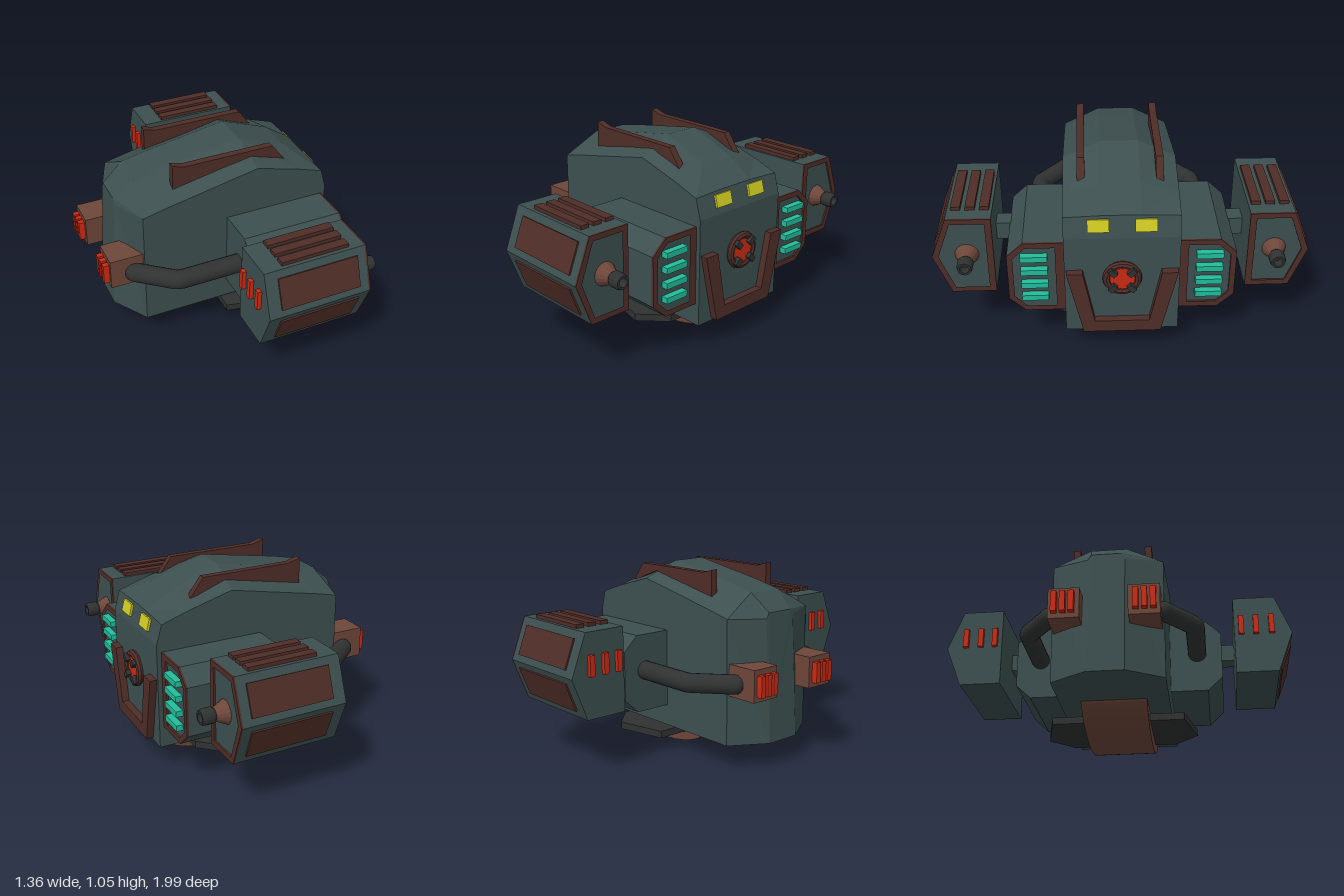
import * as THREE from 'three';

const mat = (color) => new THREE.MeshStandardMaterial({ color, flatShading: true });
const M = {
  hull: mat(0x3d4f4f), brown: mat(0x4f2d27), tan: mat(0x6e463a), dark: mat(0x303232),
  red: mat(0xcc2a14), cyan: mat(0x22bd9b), yellow: mat(0xcfcb22),
};

function add(parent, name, geo, material) {
  const mesh = new THREE.Mesh(geo, material);
  mesh.name = name;
  parent.add(mesh);
  return mesh;
}
const path = (pts, T = THREE.Shape) => new T(pts.map(([a, b]) => new THREE.Vector2(a, b)));
const extrude = (shape, depth) =>
  new THREE.ExtrudeGeometry(shape, { depth, bevelEnabled: false, curveSegments: 20 });

// Box given by its extents
function box(x0, x1, y0, y1, z0, z1) {
  return new THREE.BoxGeometry(x1 - x0, y1 - y0, Math.abs(z1 - z0))
    .translate((x0 + x1) / 2, (y0 + y1) / 2, (z0 + z1) / 2);
}
// Outline of [z, y] points swept along x, with an optional hole
function sweepX(pts, x0, x1, hole) {
  const flip = (list) => list.map(([z, y]) => [-z, y]);
  const shape = path(flip(pts));
  if (hole) shape.holes.push(path(flip(hole), THREE.Path));
  return extrude(shape, x1 - x0).rotateY(Math.PI / 2).translate(x0, 0, 0);
}
// Outline of [x, z] points swept upwards
const sweepY = (pts, y0, y1) =>
  extrude(path(pts), y1 - y0).rotateX(Math.PI / 2).translate(0, y1, 0);
// Cylinder or cone along x
const tubeX = (r0, r1, x0, x1, n = 16, open = false) =>
  new THREE.CylinderGeometry(r1, r0, x1 - x0, n, 1, open)
    .rotateZ(-Math.PI / 2).translate((x0 + x1) / 2, 0, 0);

// Faceted hull lofted through cross-sections from rear to front
function hullGeometry() {
  // x at bottom, x at top, half width, shoulder height, roof half width, roof height
  const sections = [
    [-0.585, -0.545, 0.1, 0.81, 0.08, 0.84],
    [-0.46, -0.43, 0.3, 0.822, 0.1, 0.935],
    [-0.33, -0.28, 0.3, 0.852, 0.1, 0.967],
    [0.2, 0.18, 0.3, 0.96, 0.1, 1.045],
    [0.45, 0.45, 0.3, 0.89, 0.1, 0.945],
    [0.6, 0.6, 0.3, 0.84, 0.1, 0.848],
    [0.632, 0.632, 0.3, 0.73, 0.1, 0.73],
  ];
  const rings = sections.map(([xb, xt, w, ys, c, yt]) => {
    const xs = Math.abs(xb) === 0.585 ? xt : xb;
    return [[xb, 0.14, -w], [xs, ys, -w], [xt, yt, -c], [xt, yt, c], [xs, ys, w], [xb, 0.14, w]];
  });
  const pos = [];
  const tri = (...p) => p.forEach((v) => pos.push(...v));
  for (let k = 0; k < rings.length - 1; k++) {
    for (let i = 0; i < 6; i++) {
      const j = (i + 1) % 6, A = rings[k], B = rings[k + 1];
      tri(A[i], A[j], B[j]);
      tri(A[i], B[j], B[i]);
    }
  }
  const rear = rings[0], front = rings[rings.length - 1];
  for (let i = 1; i < 5; i++) {
    tri(rear[0], rear[i + 1], rear[i]);
    tri(front[0], front[i], front[i + 1]);
  }
  const g = new THREE.BufferGeometry();
  g.setAttribute('position', new THREE.Float32BufferAttribute(pos, 3));
  g.computeVertexNormals();
  return g;
}

function createShoulder(s) {
  const g = new THREE.Group();
  g.name = s > 0 ? 'rightShoulder' : 'leftShoulder';
  const side = (pts) => pts.map(([z, y]) => [z * s, y]);
  const outer = side([[0.28, 0.26], [0.51, 0.26], [0.595, 0.34], [0.595, 0.61], [0.51, 0.69], [0.28, 0.69]]);
  const inner = side([[0.345, 0.29], [0.5, 0.29], [0.565, 0.355], [0.565, 0.595], [0.5, 0.66], [0.345, 0.66]]);
  add(g, 'shoulderBlock', sweepX(outer, 0.025, 0.595), M.hull);
  add(g, 'shoulderRim', sweepX(outer, 0.595, 0.607, inner), M.brown);
  for (const y of [0.36, 0.44, 0.523, 0.605])
    add(g, 'lightBar', box(0.59, 0.632, y - 0.016, y + 0.016, 0.385 * s, 0.525 * s), M.cyan);
  add(g, 'podArm', box(0.2, 0.3, 0.515, 0.615, 0.58 * s, 0.68 * s), M.hull);
  return g;
}

function createPod(s) {
  const g = new THREE.Group();
  g.name = s > 0 ? 'rightPod' : 'leftPod';
  const side = (pts) => pts.map(([z, y]) => [z * s, y]);
  const outer = side([[0.67, 0.32], [0.905, 0.32], [0.993, 0.55], [0.905, 0.78], [0.67, 0.78]]);
  const inner = side([[0.705, 0.35], [0.885, 0.35], [0.958, 0.55], [0.885, 0.75], [0.705, 0.75]]);
  add(g, 'podBody', sweepX(outer, -0.07, 0.5), M.hull);
  add(g, 'podRim', sweepX(outer, 0.5, 0.51, inner), M.brown);
  // Sloped side panels, upper and lower
  for (const k of [1, -1]) {
    const panel = add(g, 'sidePanel', new THREE.BoxGeometry(0.45, 0.167, 0.02), M.brown);
    panel.position.set(0.225, 0.55 + k * 0.112, 0.949 * s);
    panel.rotation.x = -s * k * Math.atan(0.088 / 0.23);
  }
  for (const z of [0.71, 0.785, 0.86]) {
    add(g, 'roofRib', box(0.04, 0.42, 0.77, 0.8, (z - 0.025) * s, (z + 0.025) * s), M.brown);
  }
  for (const z of [0.71, 0.793, 0.88])
    add(g, 'rearLight', box(-0.092, -0.06, 0.55, 0.662, (z - 0.015) * s, (z + 0.015) * s), M.red);
  // Gun
  const gun = new THREE.Group();
  gun.name = 'gun';
  gun.position.set(0, 0.557, 0.81 * s);
  add(gun, 'gunCone', tubeX(0.066, 0.032, 0.495, 0.565), M.tan);
  const barrel = [[0, 0.56], [0.033, 0.56], [0.042, 0.575], [0.042, 0.615], [0.036, 0.635], [0.024, 0.635], [0.022, 0.59], [0, 0.59]];
  add(gun, 'gunBarrel', new THREE.LatheGeometry(barrel.map(([r, h]) => new THREE.Vector2(r, h)), 16)
    .rotateZ(-Math.PI / 2), M.dark);
  g.add(gun);
  return g;
}

function createThruster(s) {
  const g = new THREE.Group();
  g.name = s > 0 ? 'rightThruster' : 'leftThruster';
  const plan = [[-0.65, 0.125], [-0.65, 0.29], [-0.465, 0.29], [-0.5, 0.125]].map(([x, z]) => [x, z * s]);
  add(g, 'thrusterBlock', sweepY(plan, 0.415, 0.587), M.tan);
  for (const z of [0.165, 0.21, 0.255])
    add(g, 'thrusterLight', box(-0.683, -0.64, 0.443, 0.557, (z - 0.015) * s, (z + 0.015) * s), M.red);
  // Bent pipe from thruster to shoulder
  const p = [[0.05, 0.455], [-0.33, 0.455], [-0.52, 0.3]].map(([x, z]) => new THREE.Vector3(x, 0.49, z * s));
  const bend = new THREE.CurvePath();
  const a = p[1].clone().lerp(p[0], 0.05), b = p[1].clone().lerp(p[2], 0.08);
  bend.add(new THREE.LineCurve3(p[0], a));
  bend.add(new THREE.QuadraticBezierCurve3(a, p[1], b));
  bend.add(new THREE.LineCurve3(b, p[2]));
  const pipeMat = new THREE.MeshStandardMaterial({ color: 0x303232 });
  add(g, 'pipe', new THREE.TubeGeometry(bend, 40, 0.052, 16), pipeMat);
  add(g, 'pipeEnd', new THREE.SphereGeometry(0.052, 16, 10).translate(p[2].x, p[2].y, p[2].z), pipeMat);
  return g;
}

export function createModel() {
  const root = new THREE.Group();
  root.name = 'vehicle';
  add(root, 'hull', hullGeometry(), M.hull);

  for (const s of [1, -1]) {
    root.add(createShoulder(s), createPod(s), createThruster(s));
    // Roof fin
    const fin = path([[-0.26, 1.048], [-0.26, 0.905], [0.2, 0.995], [0.408, 0.918], [0.325, 1.028], [-0.19, 1.028]]);
    add(root, 'roofFin', extrude(fin, 0.04).translate(0, 0, 0.205 * s - 0.02), M.brown);
    // Headlight
    const lamp = add(root, 'headlight', new THREE.BoxGeometry(0.04, 0.068, 0.112), M.yellow);
    lamp.position.set(0.606, 0.795, 0.122 * s);
    lamp.rotation.z = 0.26;
    // Belly wing
    const wing = [[0, 0], [0, 0.37], [0.285, 0.435], [0.425, 0.3], [0.425, 0]].map(([x, z]) => [x, z * s]);
    add(root, 'bellyWing', sweepY(wing, 0.083, 0.123), M.dark);
  }

  // Chin guard
  add(root, 'chinGuard', sweepX([[0.29, 0.535], [0.205, 0.155], [-0.205, 0.155], [-0.29, 0.535],
    [-0.205, 0.535], [-0.145, 0.225], [0.145, 0.225], [0.205, 0.535]], 0.62, 0.672), M.brown);

  // Nose lamp with ring and clamps
  const nose = new THREE.Group();
  nose.name = 'noseLamp';
  nose.position.y = 0.49;
  add(nose, 'lampLens', tubeX(0.075, 0.065, 0.62, 0.655, 20), M.red);
  add(nose, 'lampRing', new THREE.TorusGeometry(0.083, 0.02, 8, 24)
    .rotateY(Math.PI / 2).translate(0.645, 0, 0), M.brown);
  for (let i = 0; i < 4; i++) {
    const clamp = add(nose, 'lampClamp', new THREE.BoxGeometry(0.045, 0.045, 0.03).translate(0.658, 0.07, 0), M.dark);
    clamp.rotation.x = Math.PI / 4 + i * Math.PI / 2;
  }
  root.add(nose);

  // Curved keel below the hull
  const keel = new THREE.Shape();
  keel.moveTo(-0.19, 0.142);
  keel.bezierCurveTo(-0.13, 0.045, 0.05, 0.002, 0.205, 0.002);
  keel.bezierCurveTo(0.36, 0.002, 0.54, 0.045, 0.602, 0.142);
  add(root, 'keel', extrude(keel, 0.36).translate(0, 0, -0.18), M.tan);
  return root;
}
